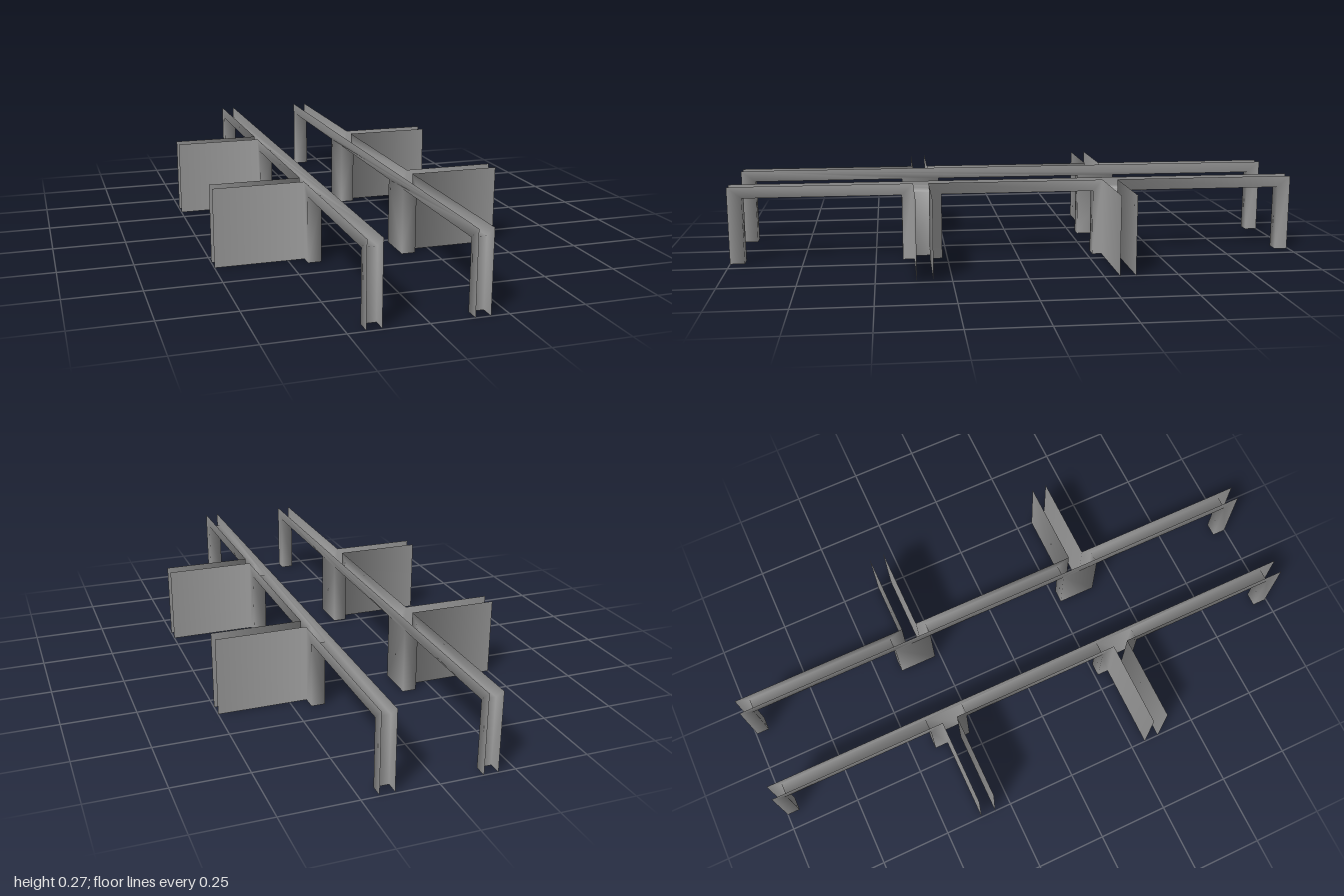
import * as THREE from 'three';

const H = 0.27;      // wall height
const SOFFIT = 0.23; // opening height
const material = new THREE.MeshStandardMaterial({ color: 0x999999, side: THREE.DoubleSide });

function add(parent, name, geometry, x, y, z, flip) {
  if (flip) geometry.index.array.reverse(); // turn the face around
  const mesh = new THREE.Mesh(geometry.translate(x, y, z), material);
  mesh.name = name;
  parent.add(mesh);
}

// Upright sheet along z facing -x, with doorway notches cut up from the floor
function sheet(z0, z1, openings) {
  const s = new THREE.Shape();
  s.moveTo(z0, 0);
  for (const [a, b] of openings) {
    s.lineTo(a, 0);
    s.lineTo(a, SOFFIT);
    s.lineTo(b, SOFFIT);
    s.lineTo(b, 0);
  }
  s.lineTo(z1, 0);
  s.lineTo(z1, H);
  s.lineTo(z0, H);
  return new THREE.ShapeGeometry(s).rotateY(-Math.PI / 2);
}

// Shade smoothly across all touching faces, weighted by corner angle
function smoothTogether(group) {
  const sums = new Map();
  const point = (g, i) => new THREE.Vector3().fromBufferAttribute(g.attributes.position, i);
  const key = (p) => p.toArray().map((v) => Math.round(v * 1e4)).join();
  const geometries = group.children.map((m) => m.geometry);
  for (const g of geometries) {
    for (let i = 0; i < g.index.count; i += 3) {
      const p = [0, 1, 2].map((k) => point(g, g.index.getX(i + k)));
      const normal = new THREE.Triangle(...p).getNormal(new THREE.Vector3());
      p.forEach((c, k) => {
        const u = p[(k + 1) % 3].clone().sub(c);
        const v = p[(k + 2) % 3].clone().sub(c);
        const id = key(c);
        if (!sums.has(id)) sums.set(id, new THREE.Vector3());
        sums.get(id).addScaledVector(normal, u.angleTo(v));
      });
    }
  }
  for (const g of geometries)
    for (let i = 0; i < g.attributes.position.count; i++) {
      const n = sums.get(key(point(g, i))).clone().normalize();
      g.attributes.normal.setXYZ(i, n.x, n.y, n.z);
    }
}

// One hollow corridor wall with three doorways and two hollow partitions
function corridorSide({ name, inner, outer, end, z0, z1, openings, partitions }) {
  const side = new THREE.Group();
  side.name = name;
  const thick = Math.abs(outer - inner);
  const mid = (inner + outer) / 2;
  const isLeft = outer > 0;

  add(side, 'innerWallFace', sheet(z0, z1, openings), inner, 0, 0, !isLeft);

  // Outer face is interrupted where the partitions join
  const stops = [z0, ...partitions.flat(), z1];
  openings.forEach((o, i) =>
    add(side, 'outerWallFace', sheet(stops[2 * i], stops[2 * i + 1], [o]), outer, 0, 0, isLeft));

  // Doorway linings
  for (const [a, b] of openings) {
    add(side, 'doorwaySoffit', new THREE.PlaneGeometry(thick, b - a).rotateX(Math.PI / 2),
      mid, SOFFIT, (a + b) / 2, false);
    for (const z of [a, b])
      add(side, 'doorwayJamb', new THREE.PlaneGeometry(thick, SOFFIT), mid, SOFFIT / 2, z, z === b);
  }

  // Partition faces, open at the top, bottom and far end
  for (const [a, b] of partitions)
    for (const z of [a, b])
      add(side, 'partitionFace', new THREE.PlaneGeometry(Math.abs(end - outer), H),
        (outer + end) / 2, H / 2, z, z === a);

  smoothTogether(side);
  return side;
}

export function createModel() {
  const model = new THREE.Group();
  model.name = 'corridorWalls';
  model.add(
    corridorSide({
      name: 'leftWall', inner: 0.141, outer: 0.19, end: 0.5, z0: -0.995, z1: 1,
      openings: [[-0.95, -0.408], [-0.27, 0.268], [0.406, 0.95]],
      partitions: [[-0.357, -0.303], [0.312, 0.366]],
    }),
    corridorSide({
      name: 'rightWall', inner: -0.144, outer: -0.192, end: -0.5, z0: -1, z1: 0.995,
      openings: [[-0.955, -0.413], [-0.275, 0.263], [0.401, 0.945]],
      partitions: [[-0.365, -0.311], [0.304, 0.358]],
    }),
  );
  return model;
}
